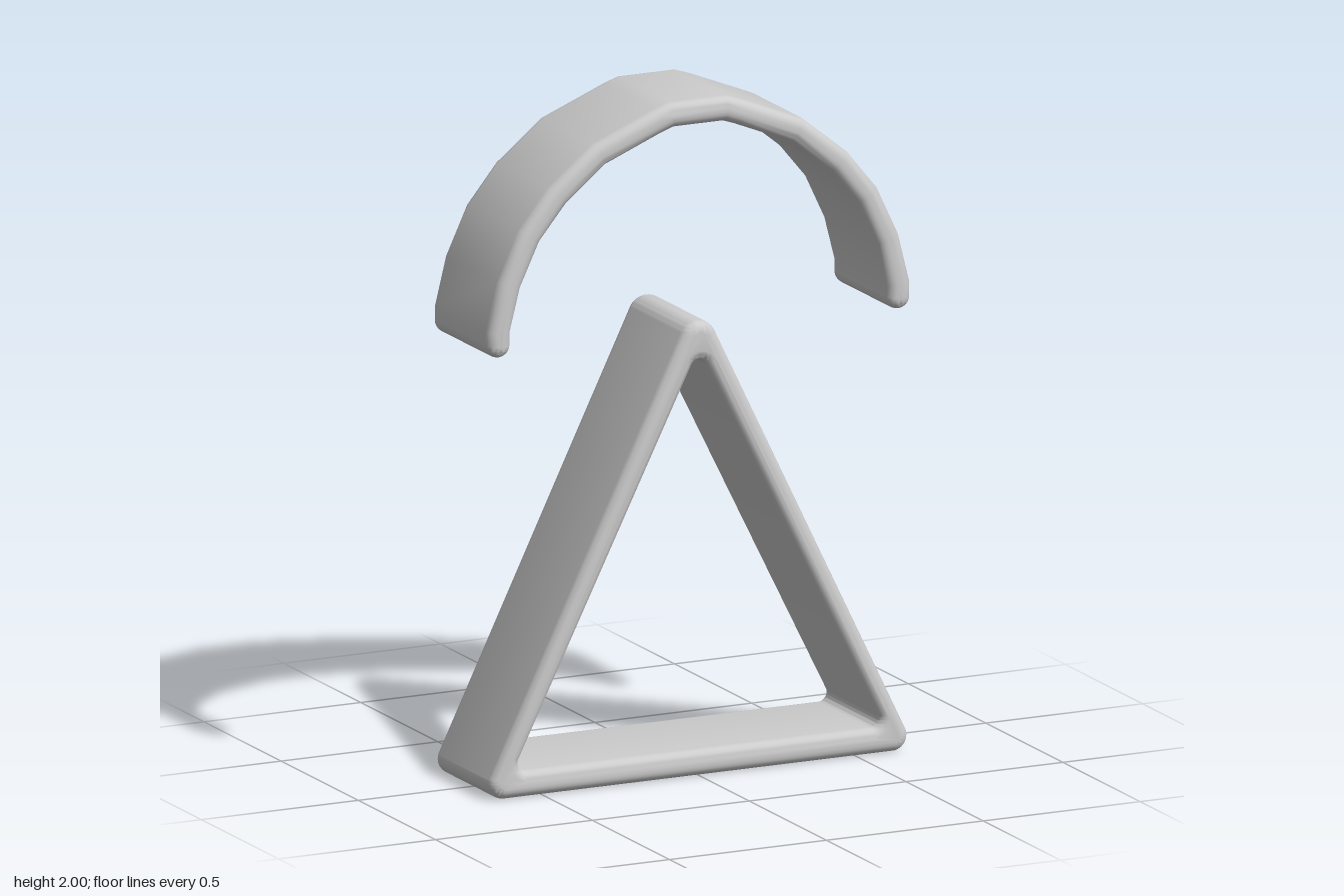
import * as THREE from 'three';
import { toCreasedNormals } from 'three/addons/utils/BufferGeometryUtils.js';

const DEPTH = 0.38;
const BEVEL = 0.03;

// Triangle outline with rounded corners: half width, bottom, apex height, corner radii
function roundedTriangle(path, halfWidth, bottom, apex, footRadius, apexRadius) {
  const phi = Math.atan2(halfWidth, apex - bottom); // direction the right edge faces
  const footX = halfWidth - footRadius / Math.tan((Math.PI / 2 - phi) / 2);
  const footY = bottom + footRadius;
  path.absarc(footX, footY, footRadius, -Math.PI / 2, phi, false);
  path.absarc(0, apex - apexRadius / Math.sin(phi), apexRadius, phi, Math.PI - phi, false);
  path.absarc(-footX, footY, footRadius, Math.PI - phi, Math.PI * 1.5, false);
  path.closePath();
  return path;
}

// Extrude a band along z with softly rounded rims
function makeBand(name, shape, material) {
  const geometry = new THREE.ExtrudeGeometry(shape, {
    depth: DEPTH - 2 * BEVEL,
    bevelEnabled: true,
    bevelThickness: BEVEL,
    bevelSize: BEVEL,
    bevelOffset: -BEVEL,
    bevelSegments: 5,
    curveSegments: 8,
  });
  geometry.translate(0, 0, -DEPTH / 2 + BEVEL);
  const mesh = new THREE.Mesh(toCreasedNormals(geometry, 0.8), material);
  mesh.name = name;
  return mesh;
}

// Faceted arch with a flat crown and rounded tips
function archShape() {
  const thickness = 0.074;
  const baseY = 1.345;
  const half = [[0.674, 1.385], [0.638, 1.53], [0.57, 1.675], [0.476, 1.79], [0.333, 1.905], [0.135, 1.985], [0.09, 2]];
  const outer = [
    ...half.map(([x, y]) => new THREE.Vector2(x, y)),
    ...half.slice().reverse().map(([x, y]) => new THREE.Vector2(-x, y)),
  ];
  const centre = new THREE.Vector2(0, 1.33);
  const inner = outer.map((p) => {
    const d = p.clone().sub(centre);
    return d.setLength(d.length() - thickness).add(centre);
  });
  const r = thickness / 2;
  const tipX = 0.674 - r;
  const shape = new THREE.Shape();
  shape.absarc(tipX, baseY, r, Math.PI, Math.PI * 2, false);
  outer.forEach((p) => shape.lineTo(p.x, p.y));
  shape.absarc(-tipX, baseY, r, Math.PI, Math.PI * 2, false);
  inner.reverse().forEach((p) => shape.lineTo(p.x, p.y));
  shape.closePath();
  return shape;
}

export function createModel() {
  const model = new THREE.Group();
  model.name = 'archAndTriangle';
  const grey = new THREE.MeshStandardMaterial({ color: 0xcccccc });
  grey.name = 'light grey';

  // Open triangular frame
  const triangle = roundedTriangle(new THREE.Shape(), 0.692, 0.003, 1.42, 0.045, 0.058);
  triangle.holes.push(roundedTriangle(new THREE.Path(), 0.59, 0.08, 1.26, 0.025, 0.025));
  model.add(makeBand('triangleFrame', triangle, grey));

  // Arch floating above it
  model.add(makeBand('arch', archShape(), grey));
  return model;
}
